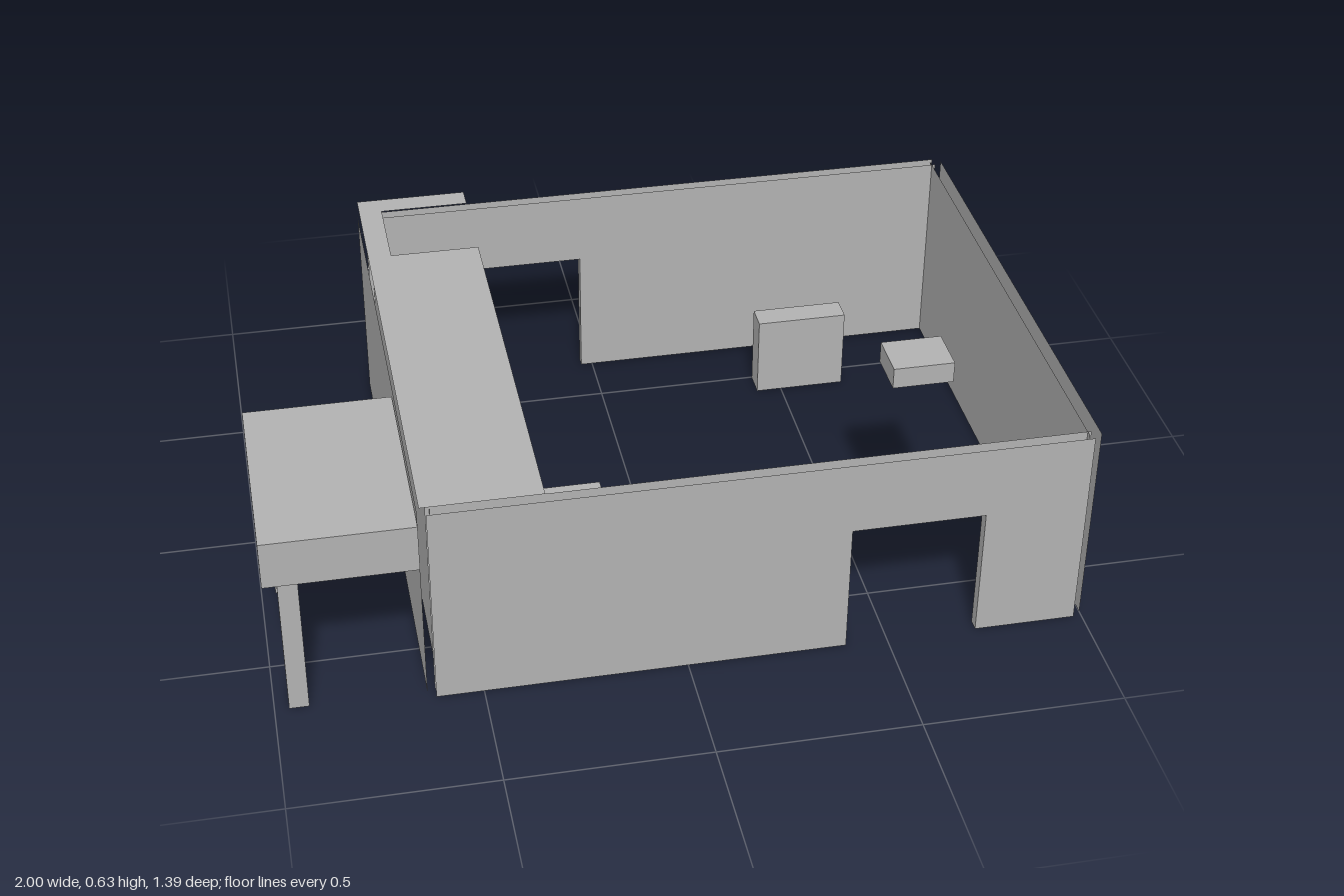
import * as THREE from 'three';

const gray = new THREE.MeshStandardMaterial({ color: 0xb2b2b2, side: THREE.DoubleSide });
gray.name = 'plainGray';

const WALL_H = 0.545, WALL_T = 0.03;

function add(parent, name, geometry, x = 0, y = 0, z = 0) {
  const mesh = new THREE.Mesh(geometry, gray);
  mesh.name = name;
  mesh.position.set(x, y, z);
  parent.add(mesh);
  return mesh;
}

// box given by its limits
function box(parent, name, x0, x1, y0, y1, z0, z1, openBottom = false) {
  const g = new THREE.BoxGeometry(x1 - x0, y1 - y0, z1 - z0);
  if (openBottom) {
    const index = Array.from(g.index.array);
    index.splice(18, 6);
    g.setIndex(index);
    g.clearGroups();
  }
  return add(parent, name, g, (x0 + x1) / 2, (y0 + y1) / 2, (z0 + z1) / 2);
}

function outline(points) {
  return new THREE.Shape(points.map(([x, y]) => new THREE.Vector2(x, y)));
}

// wall of two skins, open along the top, with an optional doorway
function wall(name, length, door) {
  const group = new THREE.Group();
  group.name = name;
  const h = length / 2;
  const pts = [[-h, 0]];
  if (door) pts.push([door.x0, 0], [door.x0, door.h], [door.x1, door.h], [door.x1, 0]);
  pts.push([h, 0], [h, WALL_H], [-h, WALL_H]);
  const skin = new THREE.ShapeGeometry(outline(pts));
  add(group, 'outerSkin', skin, 0, 0, WALL_T / 2);
  add(group, 'innerSkin', skin, 0, 0, -WALL_T / 2);
  if (door) {
    const jamb = new THREE.PlaneGeometry(WALL_T, door.h);
    add(group, 'doorJamb', jamb, door.x0, door.h / 2, 0).rotation.y = Math.PI / 2;
    add(group, 'doorJamb', jamb, door.x1, door.h / 2, 0).rotation.y = -Math.PI / 2;
    const lintel = new THREE.PlaneGeometry(door.x1 - door.x0, WALL_T);
    add(group, 'doorLintel', lintel, (door.x0 + door.x1) / 2, door.h, 0).rotation.x = Math.PI / 2;
  }
  return group;
}

export function createModel() {
  const model = new THREE.Group();
  model.name = 'building';

  // four walls, the front and back ones with doorways
  const cx = 0.182;
  const door = { x0: 0.213, x1: 0.543, h: 0.352 };
  const place = (w, x, z, turn) => {
    w.position.set(x, 0, z);
    w.rotation.y = turn;
    model.add(w);
  };
  place(wall('frontWall', 1.595, door), cx, 0.67, 0);
  place(wall('backWall', 1.595, door), cx, -0.67, Math.PI);
  place(wall('leftWall', 1.34), 0.985, 0, Math.PI / 2);
  place(wall('rightWall', 1.34), -0.62, 0, -Math.PI / 2);

  // partial flat roof with a notch, drawn in x and -z
  const roof = new THREE.ShapeGeometry(outline([
    [-0.632, -0.695], [-0.342, -0.695], [-0.342, 0.407], [-0.572, 0.407],
    [-0.572, 0.638], [-0.342, 0.638], [-0.342, 0.7], [-0.632, 0.7],
  ]));
  add(model, 'roof', roof, 0, 0.575, 0).rotation.x = -Math.PI / 2;
  box(model, 'roofUnit', 0.55, 0.702, 0.576, 0.631, 0.315, 0.435);

  // side canopy on two posts
  box(model, 'canopy', -1, -0.636, 0.39, 0.514, 0.152, 0.684);
  for (const z of [0.195, 0.637]) {
    box(model, 'canopyPost', -0.965, -0.917, 0, 0.39, z - 0.024, z + 0.024);
  }

  // row of lockers
  const edges = [0.432, 0.495, 0.553, 0.617, 0.675];
  for (let i = 0; i < 4; i++) {
    box(model, 'locker', edges[i], edges[i + 1], 0, 0.224, -0.498, -0.43, true);
  }

  // low bench with a table standing over it
  box(model, 'bench', -0.41, -0.06, 0, 0.1, 0.2, 0.29);
  box(model, 'tableTop', -0.33, -0.128, 0.2, 0.21, 0.188, 0.3);
  for (const x of [-0.33, -0.136]) {
    box(model, 'tableSide', x, x + 0.008, 0, 0.2, 0.188, 0.3);
  }
  return model;
}
